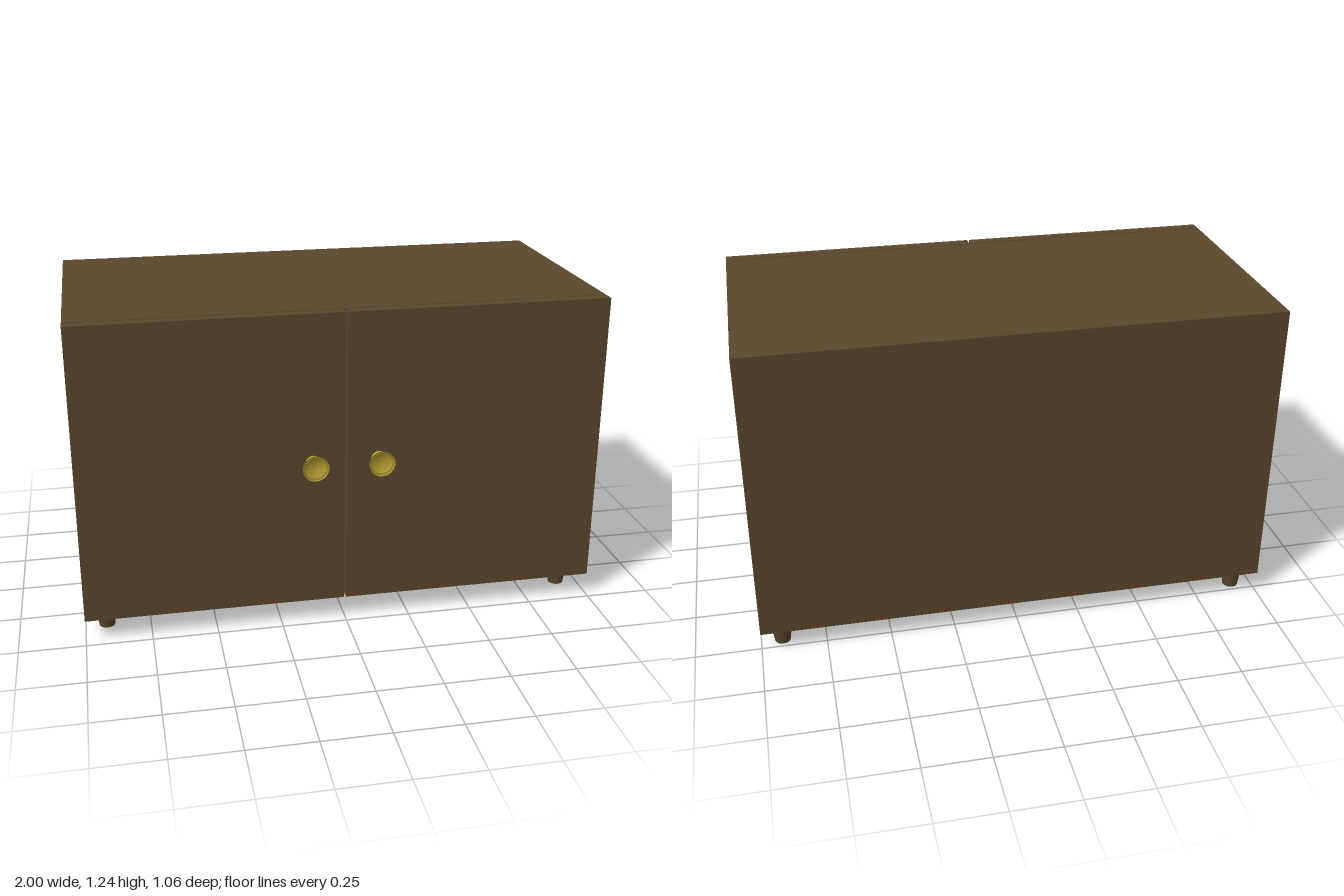
import * as THREE from 'three';

const wood = new THREE.MeshStandardMaterial({ color: 0x5a472c });
wood.name = 'dark wood';
const brass = new THREE.MeshStandardMaterial({ color: 0xb8a032, side: THREE.DoubleSide });
brass.name = 'brass';

export function createModel() {
  const model = new THREE.Group();
  model.name = 'cabinet';

  const add = (name, geometry, material, x, y, z) => {
    const mesh = new THREE.Mesh(geometry, material);
    mesh.name = name;
    mesh.position.set(x, y, z);
    model.add(mesh);
    return mesh;
  };

  // Cabinet body, with a hairline gap before the doors
  const bottom = 0.088, top = 1.238, height = top - bottom, midY = (top + bottom) / 2;
  add('body', new THREE.BoxGeometry(2, height, 0.954), wood, 0, midY, -0.053);

  // Knob: straight neck, flared rim and dished face
  const knobProfile = [
    [0.03, 0], [0.03, 0.021], [0.033, 0.025], [0.05, 0.057],
    [0.038, 0.05], [0.022, 0.045], [0, 0.043],
  ].map(([r, h]) => new THREE.Vector2(r, h));
  const knobGeometry = new THREE.LatheGeometry(knobProfile, 24);
  knobGeometry.rotateX(Math.PI / 2);

  // Doors, knobs and tapered legs, mirrored left and right
  const doorGeometry = new THREE.BoxGeometry(0.996, height, 0.044);
  const legGeometry = new THREE.CylinderGeometry(0.042, 0.03, bottom, 24);
  for (const [side, s] of [['left', 1], ['right', -1]]) {
    add(`${side}Door`, doorGeometry, wood, s * 0.502, midY, 0.451);
    add(`${side}Knob`, knobGeometry, brass, s * 0.125, 0.664, 0.473);
    add(`${side}FrontLeg`, legGeometry, wood, s * 0.918, bottom / 2, 0.35);
    add(`${side}BackLeg`, legGeometry, wood, s * 0.918, bottom / 2, -0.455);
  }
  return model;
}
